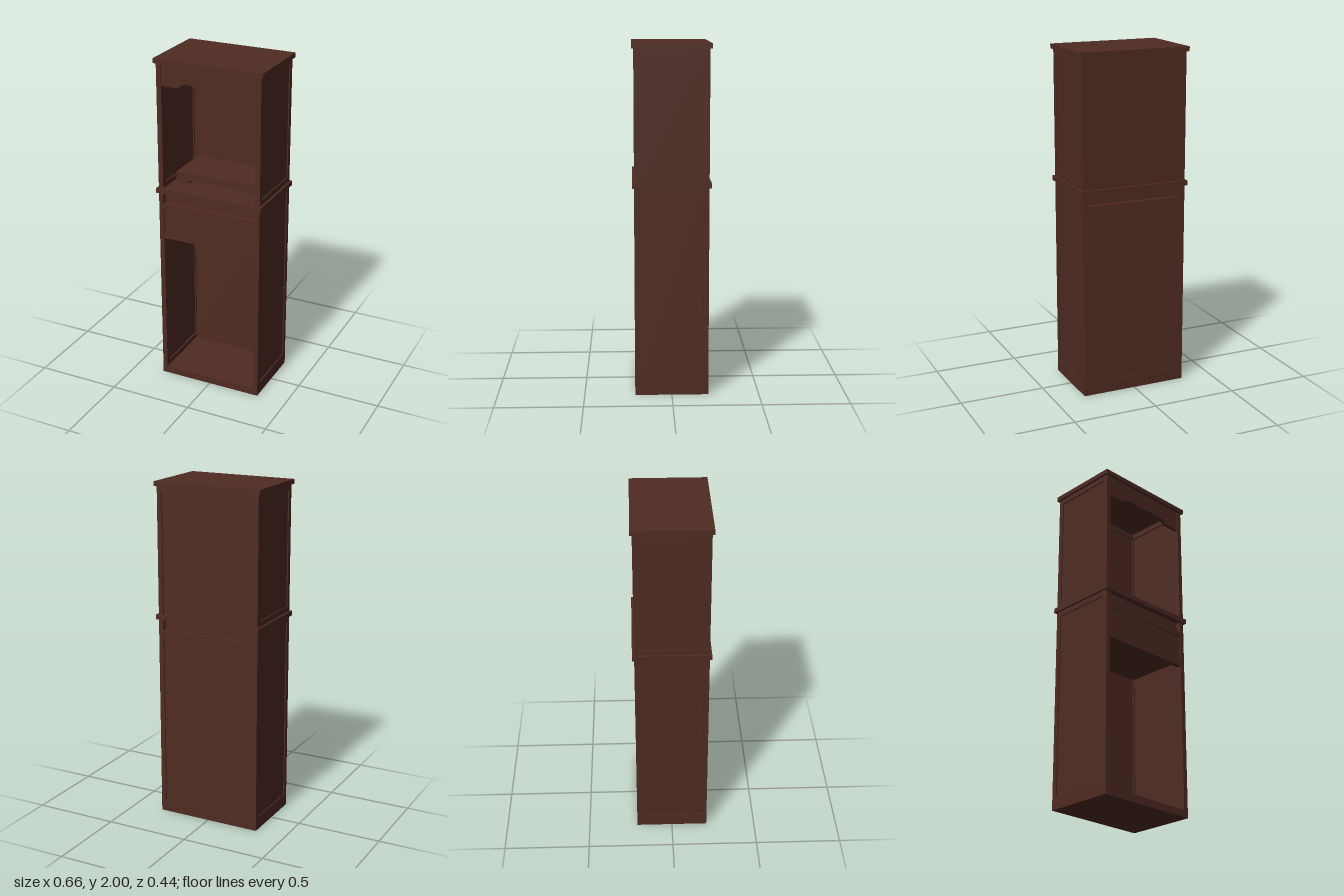
import * as THREE from 'three';

const wood = new THREE.MeshStandardMaterial({ color: 0x4f2b22 });
wood.name = 'dark walnut';

export function createModel() {
  const model = new THREE.Group();
  model.name = 'tallCabinet';

  const add = (name, geometry) => {
    const mesh = new THREE.Mesh(geometry, wood);
    mesh.name = name;
    model.add(mesh);
    return mesh;
  };
  // Box given by its limits on each axis
  const box = (name, x0, x1, y0, y1, z0, z1) =>
    add(name, new THREE.BoxGeometry(x1 - x0, y1 - y0, z1 - z0))
      .position.set((x0 + x1) / 2, (y0 + y1) / 2, (z0 + z1) / 2);
  // The same box on both sides of x = 0
  const pair = (name, x0, x1, y0, y1, z0, z1) => {
    box(name + 'Left', x0, x1, y0, y1, z0, z1);
    box(name + 'Right', -x1, -x0, y0, y1, z0, z1);
  };
  const extrude = (name, shape, z0, z1) =>
    add(name, new THREE.ExtrudeGeometry(shape, { depth: z1 - z0, bevelEnabled: false, curveSegments: 8 }))
      .position.z = z0;

  const W = 0.317, D = 0.21;    // outer half width and half depth of the body
  const IW = 0.288, ID = 0.181; // inner faces of the posts

  // Base and overhanging slabs
  box('base', -W, W, 0, 0.043, -D, D);
  box('middleSlab', -0.33, 0.33, 1.203, 1.231, -0.222, 0.222);
  box('topSlab', -0.33, 0.33, 1.973, 2, -0.222, 0.222);

  // Framed sides: posts, rails and recessed panels
  for (const [part, y0, y1] of [['lower', 0.043, 1.203], ['upper', 1.231, 1.973]]) {
    pair(part + 'FrontPost', IW, W, y0, y1, ID, D);
    pair(part + 'BackPost', IW, W, y0, y1, -D, -ID);
    pair(part + 'SideTopRail', IW, W, y1 - 0.032, y1, -ID, ID);
    pair(part + 'SideBottomRail', IW, W, y0, y0 + 0.032, -ID, ID);
    pair(part + 'SidePanel', 0.297, 0.31, y0 + 0.032, y1 - 0.032, -ID, ID);
  }

  // Back rails and panels
  box('upperBackRail', -IW, IW, 1.941, 1.973, -D, -ID);
  box('upperBackPanel', -IW, IW, 1.231, 1.941, -0.203, -0.19);
  box('lowerBackTopRail', -IW, IW, 1.107, 1.138, -D, -ID);
  box('lowerBackPanel', -IW, IW, 0.075, 1.107, -0.203, -0.19);
  box('lowerBackBottomRail', -IW, IW, 0.043, 0.075, -D, -ID);

  // Drawer section with its rails and the recessed frieze above
  box('friezeBox', -IW, IW, 1.138, 1.203, -0.185, 0.185);
  box('drawerTopRail', -IW, IW, 1.107, 1.138, ID, D);
  box('drawer', -IW, IW, 0.948, 1.107, -0.185, 0.203);
  box('drawerBottomRail', -IW, IW, 0.917, 0.948, ID, D);

  // Shaped valance under the top
  const valance = new THREE.Shape();
  valance.moveTo(-IW, 1.973);
  valance.lineTo(-IW, 1.843);
  valance.lineTo(-0.195, 1.843);
  valance.bezierCurveTo(-0.17, 1.845, -0.17, 1.868, -0.14, 1.869);
  valance.lineTo(0.14, 1.869);
  valance.bezierCurveTo(0.17, 1.868, 0.17, 1.845, 0.195, 1.843);
  valance.lineTo(IW, 1.843);
  valance.lineTo(IW, 1.973);
  extrude('valance', valance, 0.185, 0.205);

  // Low riser shelf standing on the middle slab
  const riser = new THREE.Shape();
  riser.moveTo(-0.265, 1.231);
  riser.lineTo(-0.188, 1.231);
  riser.quadraticCurveTo(-0.185, 1.255, -0.165, 1.257);
  riser.lineTo(0.165, 1.257);
  riser.quadraticCurveTo(0.185, 1.255, 0.188, 1.231);
  riser.lineTo(0.265, 1.231);
  riser.lineTo(0.265, 1.298);
  riser.lineTo(-0.265, 1.298);
  extrude('riserShelf', riser, -0.185, 0.09);

  return model;
}
